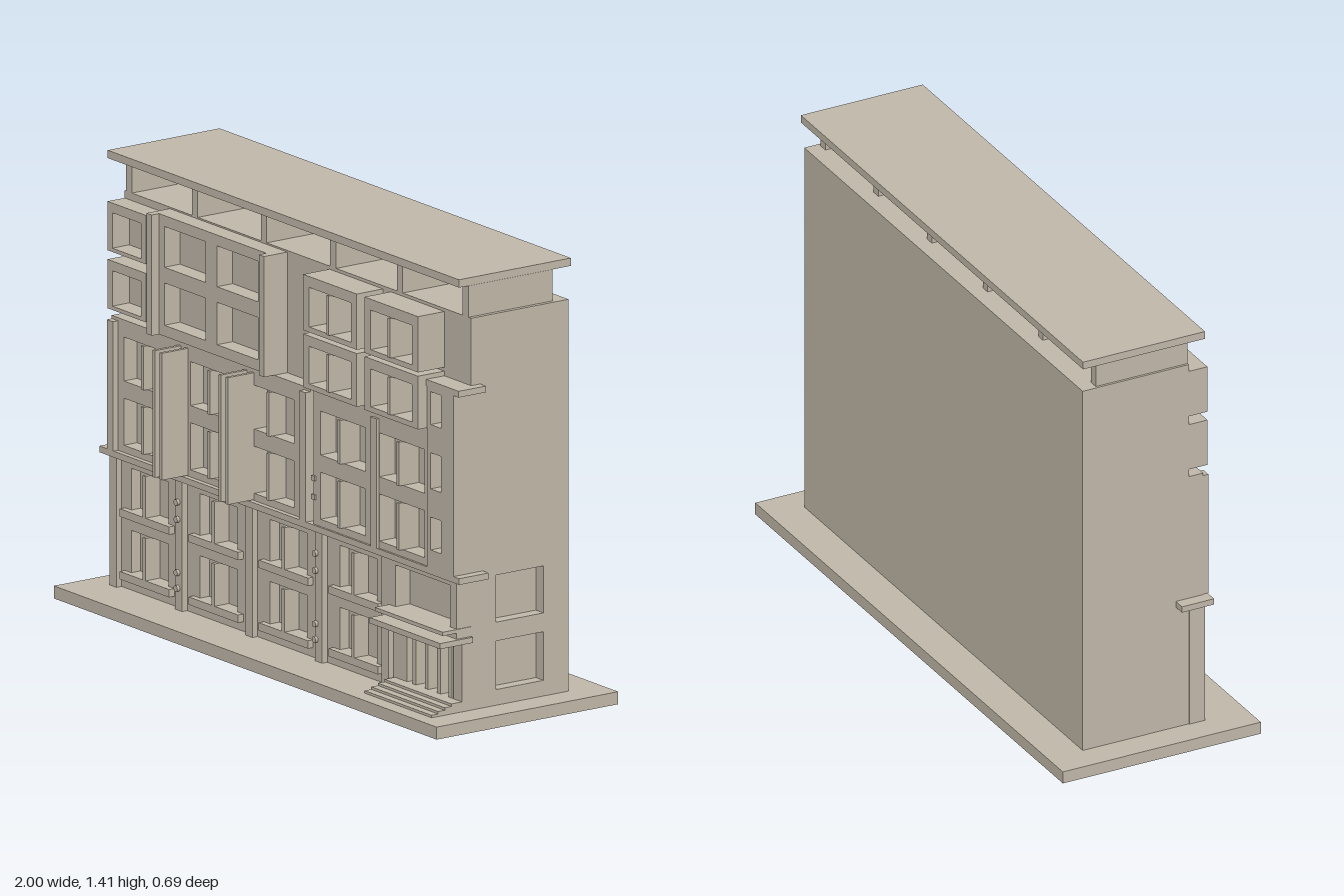
import * as THREE from 'three';

const stone = new THREE.MeshStandardMaterial({ color: 0xbfb6a7 });
stone.name = 'warm grey stone';

export function createModel() {
  const model = new THREE.Group();
  model.name = 'apartmentBuilding';

  const add = (name, geometry) => {
    const mesh = new THREE.Mesh(geometry, stone);
    mesh.name = name;
    model.add(mesh);
    return mesh;
  };
  // Box given by its limits on each axis
  const box = (name, x0, x1, y0, y1, z0, z1) =>
    add(name, new THREE.BoxGeometry(x1 - x0, y1 - y0, z1 - z0))
      .position.set((x0 + x1) / 2, (y0 + y1) / 2, (z0 + z1) / 2);

  const rect = (Type, x0, x1, y0, y1) => {
    const r = new Type();
    r.moveTo(x0, y0);
    r.lineTo(x1, y0);
    r.lineTo(x1, y1);
    r.lineTo(x0, y1);
    r.closePath();
    return r;
  };
  const pierced = ([x0, x1, y0, y1], holes, depth) => {
    const shape = rect(THREE.Shape, x0, x1, y0, y1);
    holes.forEach((h) => shape.holes.push(rect(THREE.Path, ...h)));
    return new THREE.ExtrudeGeometry(shape, { depth, bevelEnabled: false });
  };
  // Facade slab standing on the main wall, with window openings
  const WALL = 0.145;
  const panel = (name, limits, holes, front) => {
    add(name, pierced(limits, holes, front - WALL)).position.z = WALL;
  };

  // Ground slab and main block
  box('groundSlab', -1, 1, 0, 0.04, -0.345, 0.345);
  box('mainBlock', -0.905, 0.865, 0.04, 1.29, -0.225, WALL);
  const side = add('sideWall', pierced([-WALL, 0.225, 0.04, 1.29],
    [[-0.05, 0.13, 0.09, 0.245], [-0.05, 0.13, 0.305, 0.455]], 0.04));
  side.rotation.y = Math.PI / 2;
  side.position.x = 0.865;

  // Raised roof on cross walls
  box('roofSlab', -0.945, 0.89, 1.39, 1.415, -0.245, 0.18);
  for (const x of [-0.882, -0.538, -0.178, 0.184, 0.532, 0.876])
    box('roofSupport', x - 0.015, x + 0.015, 1.29, 1.39, -0.175, WALL);

  // Lower two storeys: wide windows with sills and mullions
  const lowerHoles = [];
  for (const x of [-0.855, -0.495, -0.13, 0.235]) {
    for (const [y0, y1] of [[0.07, 0.23], [0.27, 0.428]]) {
      lowerHoles.push([x + 0.033, x + 0.227, y0 + 0.025, y1]);
      box('windowSill', x, x + 0.258, y0, y0 + 0.025, WALL, 0.2);
      box('mullion', x + 0.12, x + 0.135, y0 + 0.025, y1, WALL, 0.2);
    }
  }
  panel('lowerFacade', [-0.905, 0.55, 0.04, 0.46], lowerHoles, 0.18);
  for (const x of [-0.89, -0.547, -0.18, 0.184, 0.53])
    box('lowerPilaster', x - 0.018, x + 0.018, 0.04, 0.46, WALL, 0.2);
  for (const x of [-0.55, 0.172])
    for (const y of [0.11, 0.16, 0.33, 0.385]) {
      const knob = add('pilasterKnob', new THREE.CylinderGeometry(0.01, 0.01, 0.02, 12));
      knob.rotation.x = Math.PI / 2;
      knob.position.set(x, y, 0.2);
    }

  // Ledge courses
  box('mainLedge', -0.945, 0.935, 0.457, 0.477, 0.1, 0.212);
  box('upperLedge', 0.765, 0.935, 1.055, 1.075, 0.11, 0.214);

  // Entrance bay
  panel('entranceUpperWall', [0.55, 0.905, 0.275, 0.46], [[0.585, 0.87, 0.307, 0.44]], 0.2);
  panel('entranceFront', [0.55, 0.905, 0.04, 0.275], [[0.6, 0.86, 0.065, 0.257]], 0.18);
  for (const x of [0.61, 0.655, 0.72, 0.785, 0.845])
    box('entrancePost', x - 0.009, x + 0.009, 0.065, 0.257, WALL, 0.18);
  box('upperCanopy', 0.553, 0.908, 0.295, 0.307, WALL, 0.255);
  box('lowerCanopy', 0.545, 0.915, 0.257, 0.275, WALL, 0.27);
  [0.295, 0.27, 0.245, 0.22].forEach((z, i) =>
    box('entranceStep', 0.555, 0.905, 0.04 + i * 0.008, 0.048 + i * 0.008, WALL, z));

  // Middle two storeys: paired windows with a fin between them
  const pairs = (starts, rows, width, gap, front) => {
    const holes = [];
    for (const x of starts)
      for (const [y0, y1] of rows) {
        holes.push([x, x + width, y0, y1], [x + width + gap, x + 2 * width + gap, y0, y1]);
        box('windowFin', x + width, x + width + gap, y0, y1, WALL, front);
      }
    return holes;
  };
  const midRows = [[0.5, 0.65], [0.705, 0.845]];
  panel('middleFacade', [-0.905, 0.135, 0.475, 0.9],
    pairs([-0.84, -0.493, -0.185], midRows, 0.11, 0.013, 0.21), 0.195);
  panel('middleRightFacade', [0.165, 0.768, 0.475, 0.92],
    pairs([0.2, 0.508], midRows, 0.111, 0.013, 0.22), 0.205);
  panel('cornerFacade', [0.768, 0.905, 0.475, 1.06],
    [[0.785, 0.84, 0.535, 0.64], [0.785, 0.84, 0.73, 0.845], [0.785, 0.84, 0.935, 1.04]], 0.212);
  for (const x of [-0.887, 0.118, 0.49])
    box('middlePilaster', x - 0.016, x + 0.016, 0.477, 0.89, WALL, 0.214);
  for (const x of [-0.547, -0.51, -0.202, -0.165])
    box('deepFin', x - 0.006, x + 0.006, 0.48, 0.885, WALL, 0.295);
  for (const y of [0.565, 0.625])
    box('wallKnob', 0.16, 0.178, y - 0.008, y + 0.008, WALL, 0.212);

  // Top two storeys, left: single window boxes
  for (const y of [0.925, 1.11])
    panel('smallWindowBox', [-0.905, -0.705, y, y + 0.156],
      [[-0.88, -0.73, y + 0.012, y + 0.125]], 0.21);

  // Large framed bay with four windows
  const bayHoles = [];
  for (const x of [-0.615, -0.34])
    for (const [y0, y1] of [[0.935, 1.07], [1.12, 1.25]])
      bayHoles.push([x, x + 0.215, y0, y1]);
  panel('largeBay', [-0.645, -0.08, 0.9, 1.285], bayHoles, 0.205);
  for (const x of [-0.67, -0.082])
    box('bayPier', x, x + 0.027, 0.9, 1.285, WALL, 0.233);

  // Top two storeys, right: projecting boxes with paired windows
  for (const x of [0.165, 0.485])
    for (const [y0, y1, top] of [[0.92, 1.09, 1.057], [1.102, 1.28, 1.245]])
      panel('projectingBox', [x, x + 0.28, y0, y1],
        pairs([x + 0.032], [[y0 + 0.017, top]], 0.103, 0.012, 0.255), 0.245);

  return model;
}
